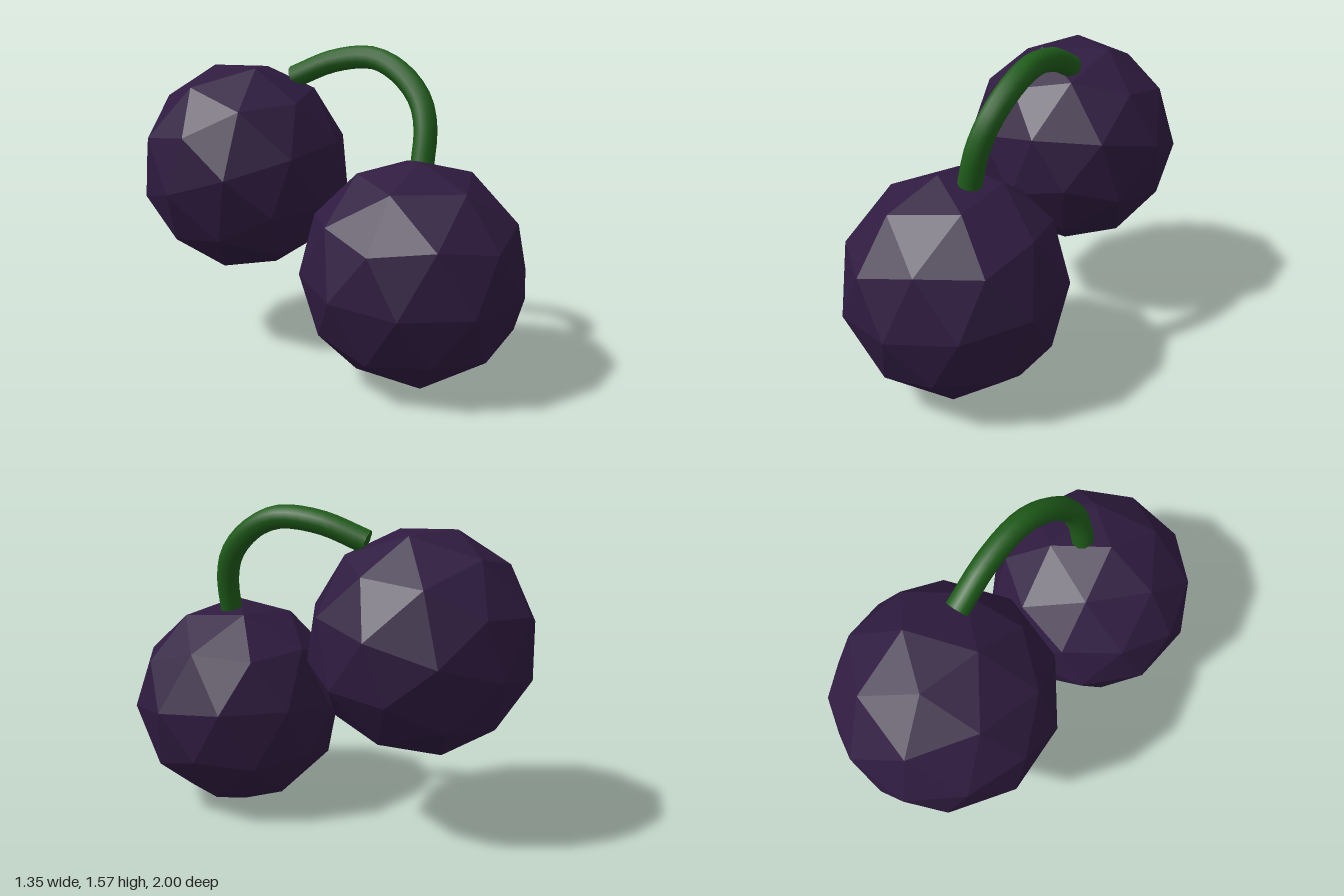
import * as THREE from 'three';

const berryMaterial = new THREE.MeshStandardMaterial({ color: 0x2f1b40, flatShading: true });
const stemMaterial = new THREE.MeshStandardMaterial({ color: 0x1f5c1a });

// Orthonormal frame from an up axis and a sideways axis
function frame(side, up) {
  const y = up.clone().normalize();
  const z = side.clone().cross(y).normalize();
  const x = y.clone().cross(z);
  return new THREE.Matrix4().makeBasis(x, y, z);
}

// Faceted berry whose five-sided corner points along `up`
function makeBerry(name, center, side, up) {
  const t = (1 + Math.sqrt(5)) / 2;
  const local = frame(new THREE.Vector3(0, 0, 1), new THREE.Vector3(1, t, 0));
  const geometry = new THREE.IcosahedronGeometry(0.541, 1);
  geometry.applyMatrix4(local.transpose());
  geometry.applyMatrix4(frame(new THREE.Vector3(...side), new THREE.Vector3(...up)));
  const berry = new THREE.Mesh(geometry, berryMaterial);
  berry.name = name;
  berry.position.set(...center);
  return berry;
}

// Arched stem joining both berries, closed at its ends
function makeStem() {
  const stem = new THREE.Group();
  stem.name = 'stem';
  const radius = 0.056;
  const path = new THREE.CatmullRomCurve3([
    [0.21, 1.03, 0.45], [0.245, 1.2, 0.432], [0.262, 1.33, 0.375], [0.25, 1.45, 0.25],
    [0.212, 1.515, 0.1], [0.13, 1.495, -0.1], [0.03, 1.41, -0.295],
  ].map((p) => new THREE.Vector3(...p)));
  const tube = new THREE.Mesh(new THREE.TubeGeometry(path, 20, radius, 10), stemMaterial);
  tube.name = 'stemTube';
  stem.add(tube);

  for (const end of [0, 1]) {
    const cap = new THREE.Mesh(new THREE.CircleGeometry(radius, 10), stemMaterial);
    cap.name = end ? 'backStemCap' : 'frontStemCap';
    const point = path.getPointAt(end);
    const outward = path.getTangentAt(end).multiplyScalar(end ? 1 : -1);
    cap.position.copy(point);
    cap.lookAt(point.clone().add(outward));
    stem.add(cap);
  }
  return stem;
}

export function createModel() {
  const model = new THREE.Group();
  model.name = 'berryPair';
  model.add(
    makeBerry('frontBerry', [0.135, 0.54, 0.485], [0.535, 0.04, -0.015], [-0.035, 0.53, 0.055]),
    makeBerry('backBerry', [-0.15, 0.95, -0.48], [0.525, 0.08, -0.09], [-0.1, 0.52, -0.12]),
    makeStem(),
  );
  return model;
}
